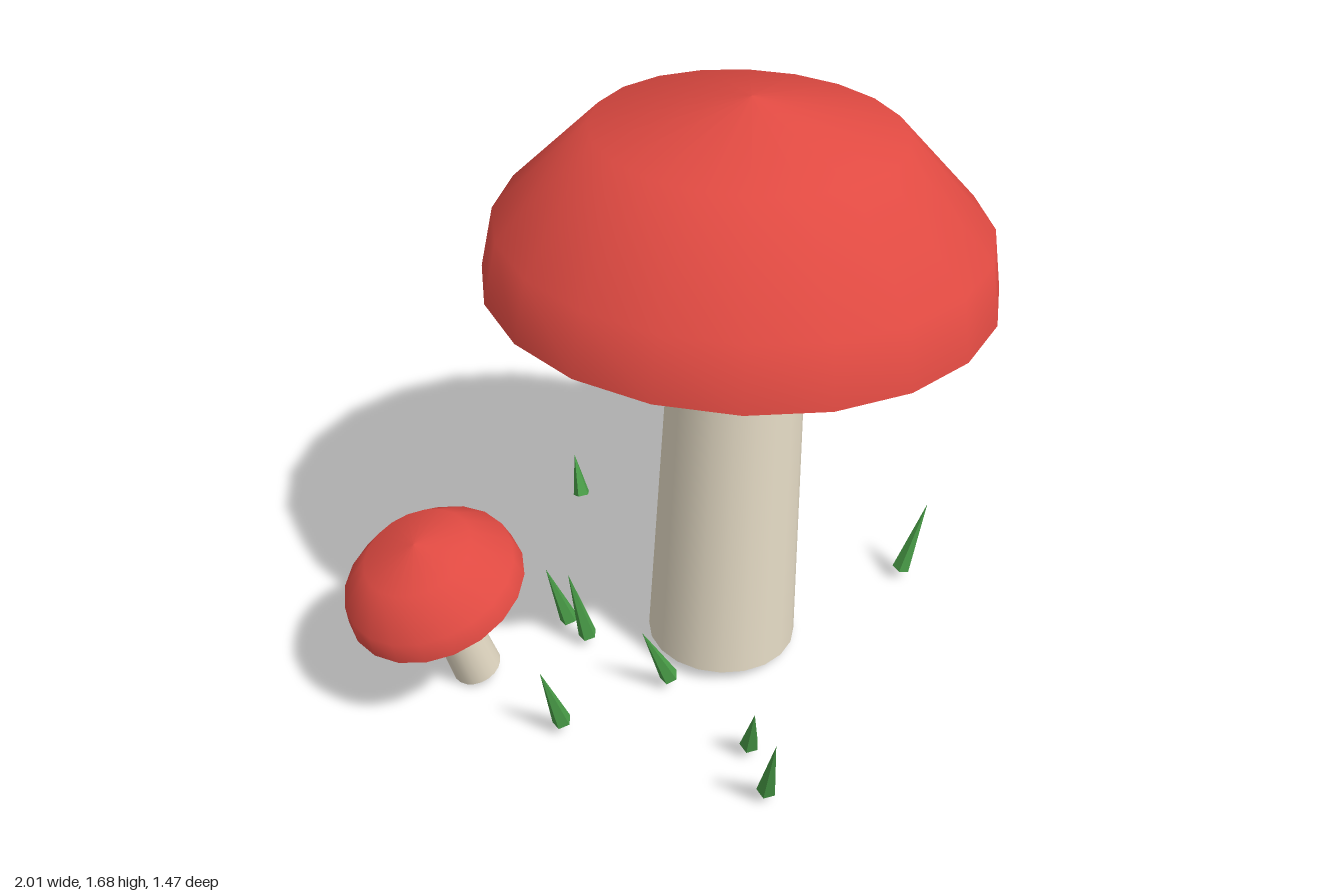
import * as THREE from 'three';

const UP = new THREE.Vector3(0, 1, 0);
const paint = (color) => new THREE.MeshStandardMaterial({ color });

// Cap profiles (radius, height) at full size, split at the rim to keep it sharp
const points = (list) => list.map(([x, y]) => new THREE.Vector2(x, y));
const DOME = points([[0.668, 0], [0.638, 0.165], [0.4, 0.41], [0, 0.495]]);
const GILLS = points([[0, -0.055], [0.2, -0.055], [0.668, 0]]);

function addMesh(parent, name, geometry, material) {
  const mesh = new THREE.Mesh(geometry, material);
  mesh.name = name;
  parent.add(mesh);
  return mesh;
}

// A mushroom leaning along lean, standing at foot; size scales the cap
function mushroom(name, { foot, lean, size, height, bottom, top, color }, stemMaterial) {
  const group = new THREE.Group();
  group.name = name;

  const stem = new THREE.CylinderGeometry(top, bottom, height, 20);
  stem.translate(0, height / 2, 0);
  addMesh(group, 'stem', stem, stemMaterial);

  const cap = new THREE.Group();
  cap.name = 'cap';
  cap.position.y = height;
  cap.scale.setScalar(size);
  const capMaterial = paint(color);
  addMesh(cap, 'capDome', new THREE.LatheGeometry(DOME, 20), capMaterial);
  addMesh(cap, 'capUnderside', new THREE.LatheGeometry(GILLS, 20), capMaterial);
  group.add(cap);

  group.position.set(...foot);
  group.quaternion.setFromUnitVectors(UP, new THREE.Vector3(...lean).normalize());
  return group;
}

// A pointed blade from base to tip
function blade(base, tip, material) {
  const from = new THREE.Vector3(...base);
  const along = new THREE.Vector3(...tip).sub(from);
  const geometry = new THREE.ConeGeometry(0.027, along.length(), 5);
  geometry.translate(0, along.length() / 2, 0);
  const mesh = new THREE.Mesh(geometry, material);
  mesh.name = 'grassBlade';
  mesh.position.copy(from);
  mesh.quaternion.setFromUnitVectors(UP, along.normalize());
  return mesh;
}

export function createModel() {
  const model = new THREE.Group();
  model.name = 'mushroomCluster';
  const stemMaterial = paint(0xe6dcc6);

  // Mushrooms
  model.add(
    mushroom('largeMushroom', {
      foot: [-0.122, 0.03, 0.045], lean: [0.053, 1, 0.022],
      size: 1, height: 1.155, bottom: 0.212, top: 0.175, color: 0xe04a42,
    }, stemMaterial),
    mushroom('orangeMushroom', {
      foot: [0.52, 0.03, -0.27], lean: [0.245, 1, -0.097],
      size: 0.546, height: 0.54, bottom: 0.114, top: 0.095, color: 0xe88c30,
    }, stemMaterial),
    mushroom('smallMushroom', {
      foot: [-0.665, 0.025, -0.423], lean: [-0.285, 1, -0.055],
      size: 0.372, height: 0.355, bottom: 0.07, top: 0.06, color: 0xe04a42,
    }, stemMaterial),
  );

  // Grass blades: base x, z and tip x, y, z
  const grass = new THREE.Group();
  grass.name = 'grass';
  const green = new THREE.MeshStandardMaterial({ color: 0x4a9e48, flatShading: true });
  const blades = [
    [-0.7, -0.07, -0.76, 0.25, -0.08],
    [-0.575, 0.525, -0.63, 0.275, 0.59],
    [-0.47, 0.395, -0.51, 0.2, 0.44],
    [-0.39, 0.06, -0.465, 0.235, 0.03],
    [-0.37, -0.33, -0.42, 0.24, -0.36],
    [-0.39, -0.24, -0.435, 0.28, -0.26],
    [-0.375, -0.62, -0.405, 0.2, -0.668],
    [0.117, -0.695, 0.135, 0.165, -0.733],
    [0.405, 0.34, 0.46, 0.265, 0.385],
  ];
  for (const [x, z, tx, ty, tz] of blades) {
    grass.add(blade([x, 0.035, z], [tx, ty, tz], green));
  }
  model.add(grass);
  return model;
}
